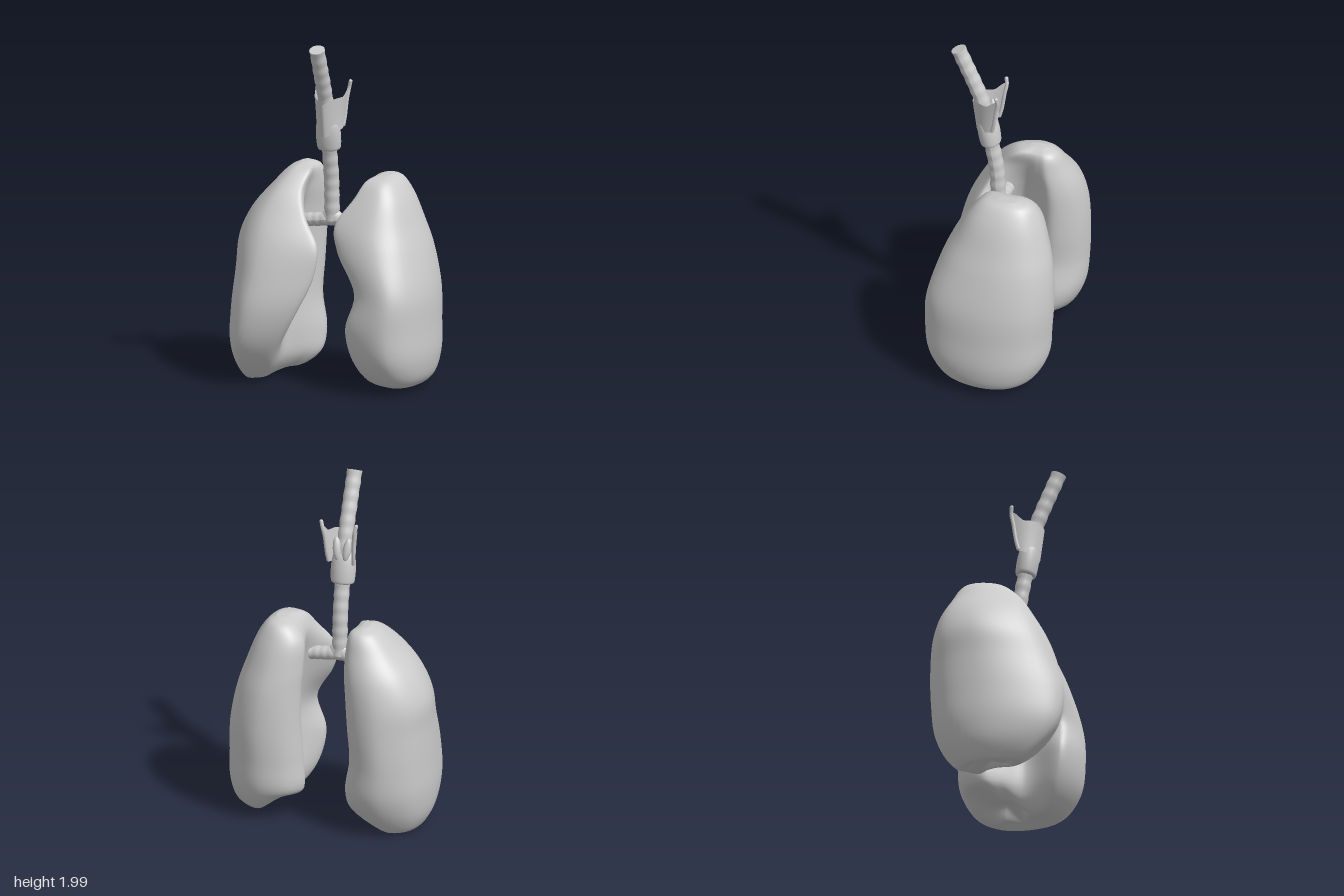
import * as THREE from 'three';

const grey = new THREE.MeshStandardMaterial({ color: 0xcccccc });
const greyDouble = new THREE.MeshStandardMaterial({ color: 0xcccccc, side: THREE.DoubleSide });
const V = (x, y, z) => new THREE.Vector3(x, y, z);

function add(parent, name, geometry, material = grey) {
  const mesh = new THREE.Mesh(geometry, material);
  mesh.name = name;
  parent.add(mesh);
  return mesh;
}

// Lung sections, apex to base:
// [y, outer x, back z, front z, inner back x, hilum x, front edge x, front edge z]
const leftRows = [
  [1.212, 0.32, -0.15, -0.04, 0.26, 0.26, 0.26, -0.06],
  [1.185, 0.365, -0.225, 0.055, 0.20, 0.20, 0.20, 0.03],
  [1.10, 0.425, -0.28, 0.13, 0.135, 0.16, 0.155, 0.095],
  [0.94, 0.49, -0.33, 0.22, 0.13, 0.20, 0.06, 0.165],
  [0.80, 0.54, -0.36, 0.28, 0.14, 0.23, 0.09, 0.19],
  [0.58, 0.59, -0.372, 0.34, 0.14, 0.26, 0.21, 0.24],
  [0.38, 0.60, -0.36, 0.355, 0.13, 0.26, 0.16, 0.25],
  [0.20, 0.60, -0.34, 0.33, 0.13, 0.25, 0.19, 0.22],
  [0.08, 0.565, -0.27, 0.25, 0.18, 0.27, 0.26, 0.17],
  [0.04, 0.51, -0.18, 0.17, 0.27, 0.31, 0.32, 0.10],
  [0.06, 0.46, -0.09, 0.09, 0.34, 0.36, 0.36, 0.05],
];
const rightRows = [
  [1.235, 0.25, -0.17, -0.08, 0.205, 0.205, 0.205, -0.10],
  [1.205, 0.31, -0.235, 0.01, 0.15, 0.16, 0.16, -0.02],
  [1.10, 0.41, -0.29, 0.115, 0.13, 0.18, 0.17, 0.075],
  [0.97, 0.52, -0.345, 0.195, 0.13, 0.22, 0.125, 0.145],
  [0.82, 0.587, -0.375, 0.275, 0.14, 0.26, 0.03, 0.20],
  [0.65, 0.593, -0.385, 0.335, 0.15, 0.28, 0.045, 0.22],
  [0.45, 0.60, -0.38, 0.375, 0.16, 0.28, 0.13, 0.26],
  [0.25, 0.60, -0.36, 0.35, 0.13, 0.28, 0.24, 0.25],
  [0.10, 0.57, -0.29, 0.25, 0.15, 0.29, 0.32, 0.18],
  [0.015, 0.51, -0.20, 0.14, 0.27, 0.36, 0.39, 0.07],
  [0.04, 0.48, -0.11, 0.07, 0.36, 0.39, 0.40, 0.03],
];

// Control ring of one section, from the outer side round the front;
// lift raises the inner base, taper narrows the outer front corner
function sectionRing([y, xo, zb, zf, xb, xh, xf, zt], lift, taper) {
  const mid = (zb + zf) / 2, depth = zf - zb;
  const raised = y < 0.15 ? y + lift : y;
  return [
    V(xo, y, mid - 0.05 * depth),
    V(xo - taper * (xo - xf), y, mid + 0.36 * depth),
    V(xo - 0.42 * (xo - xf), y, zf),
    V(xf + 0.10 * (xo - xf), y, (zt + zf) / 2),
    V(xf, y, zt),
    V(xh, (y + raised) / 2, mid + 0.07 * depth),
    V(xb + 0.45 * (xh - xb), raised, mid - 0.11 * depth),
    V(xb, raised, mid - 0.27 * depth),
    V(xb + 0.16 * (xo - xb), raised, mid - 0.44 * depth),
    V(xb + 0.5 * (xo - xb), y, zb),
    V(xo - 0.14 * (xo - xb), y, mid - 0.36 * depth),
  ];
}

// Smooth skin through the sections; side = -1 mirrors it
function lungGeometry(rows, side, lift, taper) {
  const rings = rows.map(r => sectionRing(r, lift, taper));
  const columns = rings[0].map((_, k) => new THREE.CatmullRomCurve3(rings.map(r => r[k])));
  const M = 60, N = 66, pos = [], idx = [];
  for (let i = 0; i <= M; i++) {
    const ring = new THREE.CatmullRomCurve3(columns.map(c => c.getPoint(i / M)), true);
    for (let k = 0; k < N; k++) {
      const p = ring.getPoint(k / N);
      pos.push(side * p.x, p.y, p.z);
    }
  }
  const tri = (a, b, c) => (side > 0 ? idx.push(a, b, c) : idx.push(a, c, b));
  for (let i = 0; i < M; i++) for (let k = 0; k < N; k++) {
    const a = i * N + k, b = i * N + (k + 1) % N;
    tri(a, b, a + N);
    tri(b, b + N, a + N);
  }
  // Close apex and base
  for (let k = 1; k < N - 1; k++) {
    tri(0, k + 1, k);
    tri(M * N, M * N + k, M * N + k + 1);
  }
  const g = new THREE.BufferGeometry();
  g.setAttribute('position', new THREE.Float32BufferAttribute(pos, 3));
  g.setIndex(idx);
  g.computeVertexNormals();
  return g;
}

// Tube whose radius swells into cartilage rings along its length
function ringedTube(path, radius, rings, ripple) {
  const steps = rings * 6, sides = 16;
  const g = new THREE.TubeGeometry(path, steps, radius, sides);
  const p = g.attributes.position, v = V(0, 0, 0);
  for (let i = 0; i <= steps; i++) {
    const c = path.getPointAt(i / steps);
    const s = 1 + ripple * Math.cos((i / 6) * Math.PI * 2);
    for (let j = 0; j <= sides; j++) {
      const n = i * (sides + 1) + j;
      v.fromBufferAttribute(p, n).sub(c).multiplyScalar(s).add(c);
      p.setXYZ(n, v.x, v.y, v.z);
    }
  }
  g.computeVertexNormals();
  return g;
}

// Disc closing a tube at its start (end = 0) or finish (end = 1)
function addCap(parent, name, path, end, radius) {
  const cap = add(parent, name, new THREE.CircleGeometry(radius, 16));
  cap.position.copy(path.getPointAt(end));
  cap.lookAt(cap.position.clone().addScaledVector(path.getTangentAt(end), end * 2 - 1));
}

// Shield-shaped cartilage: V prow in front, notched top, raised rear corners
function shieldGeometry() {
  const U = 40, W = 10, pos = [], idx = [];
  for (let i = 0; i <= U; i++) {
    const u = (i / U) * 2 - 1, a = Math.abs(u);
    const top = 1.645 + 0.035 * Math.sin(Math.min(a / 0.6, 1) * Math.PI / 2) + 0.05 * THREE.MathUtils.smoothstep(a, 0.75, 1);
    const bottom = 1.45 + 0.05 * a;
    for (let j = 0; j <= W; j++) {
      const y = bottom + (top - bottom) * (j / W);
      const h = (y - 1.45) / 0.25;
      const x = Math.sign(u) * (0.077 + 0.017 * h * h) * Math.sin(a * Math.PI / 2);
      const z = 0.172 + 0.034 * Math.min(h, 0.9) - (0.105 + 0.06 * h) * Math.pow(a, 1.5);
      pos.push(x, y, z);
    }
  }
  for (let i = 0; i < U; i++) for (let j = 0; j < W; j++) {
    const a = i * (W + 1) + j, b = a + W + 1;
    idx.push(a, b, a + 1, b, b + 1, a + 1);
  }
  const g = new THREE.BufferGeometry();
  g.setAttribute('position', new THREE.Float32BufferAttribute(pos, 3));
  g.setIndex(idx);
  g.computeVertexNormals();
  return g;
}

export function createModel() {
  const model = new THREE.Group();
  model.name = 'respiratorySystem';

  add(model, 'leftLung', lungGeometry(leftRows, 1, 0.07, 0.14));
  add(model, 'rightLung', lungGeometry(rightRows, -1, 0.03, 0.18));

  // Windpipe with a closed upper end
  const windpipe = new THREE.CatmullRomCurve3([
    V(0, 0.95, 0.045), V(0, 1.2, 0.057), V(0, 1.4, 0.092), V(0, 1.55, 0.113), V(0, 1.68, 0.152), V(0, 1.985, 0.28),
  ]);
  add(model, 'windpipe', ringedTube(windpipe, 0.043, 15, 0.035));
  addCap(model, 'windpipeTop', windpipe, 1, 0.0445);

  // Main bronchi, one arch reaching both lungs
  const bronchi = new THREE.CatmullRomCurve3([
    V(-0.175, 0.935, 0.045), V(-0.09, 0.945, 0.045), V(0, 0.955, 0.045), V(0.09, 0.945, 0.045), V(0.175, 0.935, 0.045),
  ]);
  add(model, 'bronchi', ringedTube(bronchi, 0.039, 8, 0.03));
  for (const end of [0, 1]) addCap(model, 'bronchusEnd', bronchi, end, 0.04);
  // Flare where the windpipe divides
  const fork = add(model, 'windpipeFork', new THREE.SphereGeometry(1, 20, 14));
  fork.scale.set(0.065, 0.05, 0.04);
  fork.position.set(0, 0.965, 0.045);

  // Larynx
  const larynx = new THREE.Group();
  larynx.name = 'larynx';
  model.add(larynx);
  add(larynx, 'shieldCartilage', shieldGeometry(), greyDouble);

  const profile = [[0.045, -0.09], [0.064, -0.085], [0.07, -0.06], [0.072, 0], [0.066, 0.06], [0.054, 0.085], [0.04, 0.09]];
  const ring = add(larynx, 'ringCartilage', new THREE.LatheGeometry(
    new THREE.SplineCurve(profile.map(p => new THREE.Vector2(...p))).getPoints(18), 28), greyDouble);
  ring.position.set(0, 1.46, 0.103);
  ring.rotation.x = 0.16;
  ring.scale.z = 0.86;

  for (const s of [-1, 1]) {
    const lump = add(larynx, 'rearCartilage', new THREE.SphereGeometry(1, 16, 12));
    lump.scale.set(0.024, 0.07, 0.024);
    lump.position.set(s * 0.03, 1.58, 0.08);
    lump.rotation.set(0.2, 0, -s * 0.12);
    // Thick rear edge of the shield, rising into a horn
    const edge = new THREE.CatmullRomCurve3([
      V(s * 0.075, 1.51, 0.062), V(s * 0.08, 1.56, 0.05), V(s * 0.087, 1.66, 0.036), V(s * 0.096, 1.72, 0.026), V(s * 0.105, 1.757, 0.03),
    ]);
    add(larynx, 'horn', new THREE.TubeGeometry(edge, 24, 0.011, 10));
    for (const end of [0, 1]) {
      const tip = add(larynx, 'hornTip', new THREE.SphereGeometry(0.011, 10, 8));
      tip.position.copy(edge.getPoint(end));
    }
  }
  return model;
}
